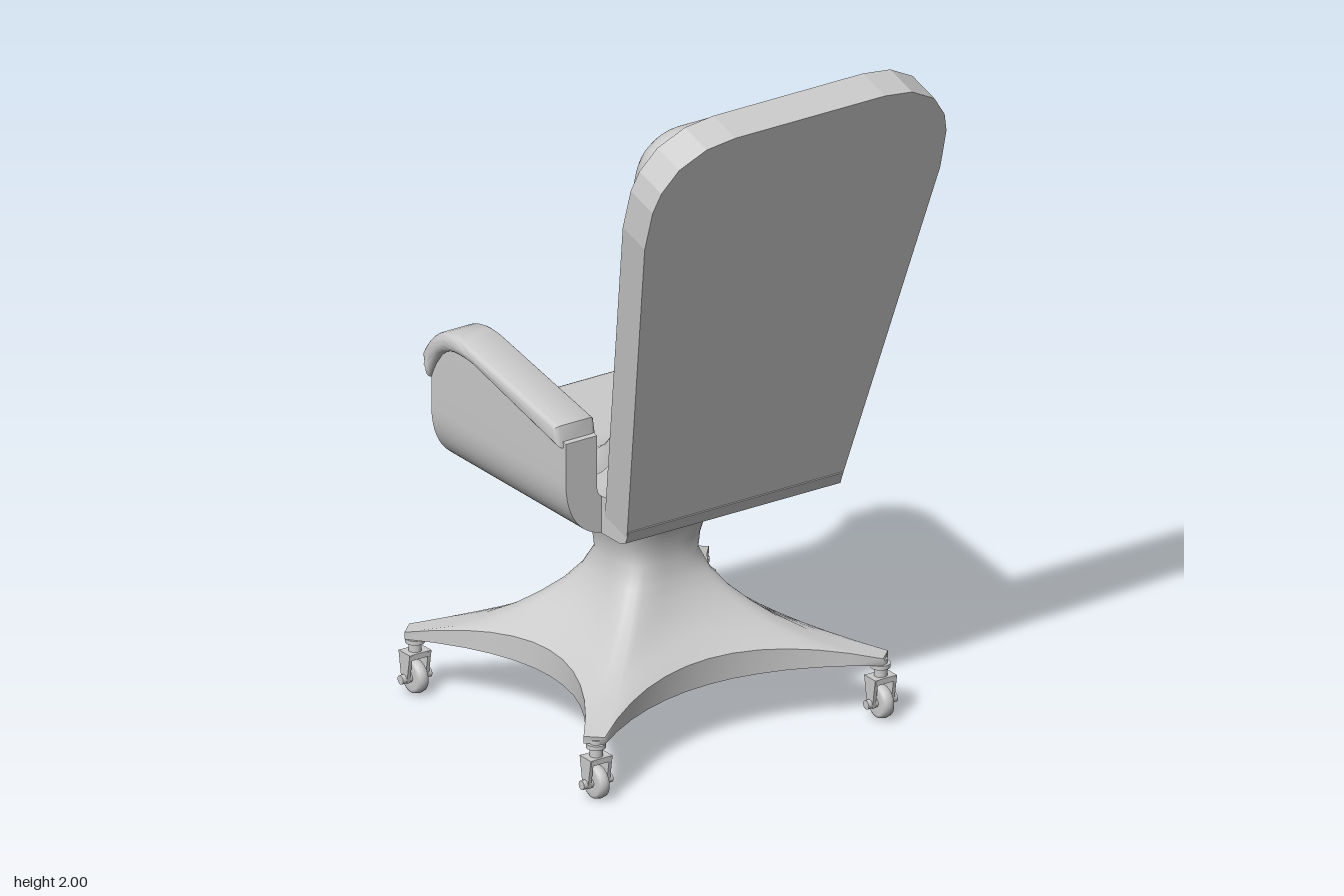
import * as THREE from 'three';
import { toCreasedNormals } from 'three/addons/utils/BufferGeometryUtils.js';

const mat = new THREE.MeshStandardMaterial({ color: 0xcccccc });
const TILT = 0.272; // lean of the backrest

function add(parent, name, geo, x = 0, y = 0, z = 0) {
  const m = new THREE.Mesh(geo, mat);
  m.name = name;
  m.position.set(x, y, z);
  parent.add(m);
  return m;
}

const polygon = (pts) => new THREE.Shape(pts.map(([x, y]) => new THREE.Vector2(x, y)));

// Extrudes a side profile given as (z, y) across x, centred on x = 0.
function sideExtrude(shape, width, bevel = 0) {
  const geo = new THREE.ExtrudeGeometry(shape, {
    depth: width - 2 * bevel, curveSegments: 10, bevelEnabled: bevel > 0,
    bevelSize: bevel, bevelThickness: bevel, bevelOffset: -bevel, bevelSegments: 5,
  });
  geo.translate(0, 0, -(width - 2 * bevel) / 2);
  geo.rotateY(-Math.PI / 2);
  return toCreasedNormals(geo, 0.7);
}

// Skins a grid of points; closed joins the end of each row to its start.
function skin(rows, closed) {
  const n = rows[0].length, idx = [];
  for (let i = 0; i < rows.length - 1; i++) {
    for (let j = 0; j < (closed ? n : n - 1); j++) {
      const a = i * n + j, b = i * n + (j + 1) % n;
      idx.push(a, a + n, b, b, a + n, b + n);
    }
  }
  const geo = new THREE.BufferGeometry();
  geo.setAttribute('position', new THREE.Float32BufferAttribute(rows.flat(2), 3));
  geo.setIndex(idx);
  geo.computeVertexNormals();
  return geo;
}

// One pedestal ring: blend w from rounded square (radius r) to four-pointed star.
function ring(w, r, yTip, yMid) {
  const pts = [];
  for (let k = 0; k < 4; k++) {
    const c = Math.cos(k * Math.PI / 2), s = Math.sin(k * Math.PI / 2);
    for (let i = 0; i <= 12; i++) {
      const t = i / 6 - 1, a = t * 0.73;
      const q = r / Math.pow(Math.cos(a) ** 3 + Math.abs(Math.sin(a)) ** 3, 1 / 3);
      const d = w * (0.3 + 0.17 * t * t) + (1 - w) * q * Math.cos(a);
      const e = w * 0.43 * t + (1 - w) * q * Math.sin(a);
      pts.push([(d * c - e * s) * 1.04, yTip + (yMid - yTip) * (1 - t * t), (d * s + e * c) * 0.96]);
    }
  }
  return pts;
}

function pedestal() {
  const g = new THREE.Group();
  g.name = 'pedestal';
  const bottom = ring(1, 0.125, 0.165, 0.165), rim = ring(1, 0.125, 0.185, 0.24);
  add(g, 'baseUnderside', skin([bottom.map(() => [0, 0.165, 0]), bottom], true));
  add(g, 'baseRim', skin([bottom, rim], true));
  const column = [
    [0.8, 0.125, 0.205, 0.262], [0.6, 0.125, 0.232, 0.285], [0.42, 0.125, 0.27, 0.312],
    [0.28, 0.125, 0.312, 0.342], [0.16, 0.125, 0.355, 0.372], [0.06, 0.125, 0.405, 0.41],
    [0, 0.122, 0.46, 0.46], [0, 0.127, 0.51, 0.51], [0, 0.14, 0.56, 0.56],
    [0, 0.165, 0.605, 0.605], [0, 0.2, 0.645, 0.645], [0, 0.235, 0.67, 0.67], [0, 0.275, 0.695, 0.695],
  ].map((p) => ring(...p));
  add(g, 'column', skin([rim, ...column], true));
  g.position.z = -0.15;
  return g;
}

function caster(x, z) {
  const g = new THREE.Group();
  g.name = 'caster';
  add(g, 'stem', new THREE.CylinderGeometry(0.018, 0.018, 0.06, 16), 0, 0.145, 0);
  add(g, 'collar', new THREE.CylinderGeometry(0.027, 0.027, 0.012, 16), 0, 0.157, 0);
  add(g, 'forkBridge', new THREE.BoxGeometry(0.066, 0.016, 0.05), 0, 0.119, 0);
  const tyre = new THREE.LatheGeometry([[0.012, -0.016], [0.036, -0.018], [0.044, -0.013], [0.047, 0],
    [0.044, 0.013], [0.036, 0.018], [0.012, 0.016]].map(([r, h]) => new THREE.Vector2(r, h)), 28);
  add(g, 'wheel', tyre.rotateZ(Math.PI / 2), 0, 0.052, 0);
  add(g, 'axle', new THREE.CylinderGeometry(0.013, 0.013, 0.094, 14).rotateZ(Math.PI / 2), 0, 0.052, 0);
  const leg = polygon([[-0.012, 0.042], [0.012, 0.042], [0.026, 0.127], [-0.026, 0.127]]);
  for (const s of [-1, 1]) add(g, 'forkLeg', sideExtrude(leg, 0.01), s * 0.03, 0, 0);
  g.position.set(x, 0, z);
  return g;
}

// Height of the side walls along z, following the underside of the arm pads.
function wallTop(z) {
  const p = [[-0.48, 0.95], [-0.44, 1.02], [-0.37, 1.07], [-0.27, 1.07], [0.14, 0.975]];
  let i = 0;
  while (i < p.length - 2 && z > p[i + 1][0]) i++;
  return THREE.MathUtils.mapLinear(z, p[i][0], p[i + 1][0], p[i][1], p[i + 1][1]);
}

function seatShell() {
  const s = new THREE.Shape();
  s.moveTo(-0.33, 0.69);
  s.lineTo(0.33, 0.69);
  s.bezierCurveTo(0.41, 0.695, 0.46, 0.76, 0.46, 0.86);
  s.lineTo(0.46, 1.1);
  s.lineTo(0.36, 1.1);
  s.lineTo(0.36, 0.83);
  s.quadraticCurveTo(0.36, 0.79, 0.32, 0.79);
  s.lineTo(-0.32, 0.79);
  s.quadraticCurveTo(-0.36, 0.79, -0.36, 0.83);
  s.lineTo(-0.36, 1.1);
  s.lineTo(-0.46, 1.1);
  s.lineTo(-0.46, 0.86);
  s.bezierCurveTo(-0.46, 0.76, -0.41, 0.695, -0.33, 0.69);
  const geo = new THREE.ExtrudeGeometry(s, { depth: 0.62, steps: 24, bevelEnabled: false, curveSegments: 12 });
  geo.translate(0, 0, -0.48);
  const p = geo.attributes.position;
  for (let i = 0; i < p.count; i++) if (p.getY(i) > 1.05) p.setY(i, wallTop(p.getZ(i)));
  return toCreasedNormals(geo, 0.6);
}

function backShell() {
  const half = [[0.345, 0], [0.475, 1.0], [0.472, 1.12], [0.455, 1.18], [0.41, 1.245], [0.33, 1.29], [0.24, 1.303]];
  const outline = [...half, ...half.map(([x, y]) => [-x, y]).reverse()];
  return new THREE.ExtrudeGeometry(polygon(outline), { depth: 0.105, bevelEnabled: false }).rotateX(TILT);
}

// One continuous pad running along the seat and up the backrest.
function cushion() {
  const v2 = (z, y) => new THREE.Vector2(z, y);
  const path = new THREE.CurvePath();
  path.add(new THREE.LineCurve(v2(-0.455, 0.79), v2(-0.08, 0.79)));
  path.add(new THREE.QuadraticBezierCurve(v2(-0.08, 0.79), v2(0.168, 0.79), v2(0.248, 1.08)));
  path.add(new THREE.LineCurve(v2(0.248, 1.08), v2(0.493, 1.958)));
  const L = path.getLength(), rows = [], N = 72, M = 32, edge = 0.06;
  for (let i = 0; i <= N; i++) {
    const u = (1 - Math.cos(Math.PI * i / N)) / 2, s = u * L;
    const p = path.getPointAt(u);
    const a = path.getPointAt(Math.max(0, u - 0.01)), b = path.getPointAt(Math.min(1, u + 0.01));
    const dir = b.sub(a).normalize();
    const w = THREE.MathUtils.clamp(0.295 + 0.135 * (p.y - 0.745) / 0.963, 0.325, 0.432);
    const thick = THREE.MathUtils.lerp(0.06, 0.085, THREE.MathUtils.smoothstep(u, 0.15, 0.45));
    const end = Math.min(s, L - s), r = u < 0.5 ? 0.08 : 0.14;
    const width = end < r ? w - r + Math.sqrt(Math.max(0, r * r - (r - end) ** 2)) : w;
    const row = [];
    for (let j = 0; j <= M; j++) {
      const x = width * Math.sin((j / M - 0.5) * Math.PI), side = w - Math.abs(x);
      const d = end < r && side < r ? r - Math.hypot(r - end, r - side) : Math.min(end, side);
      const q = THREE.MathUtils.clamp(d / edge, 0, 1);
      const h = thick * Math.sqrt(1 - (1 - q) ** 2);
      row.push([x, p.y + dir.x * h, p.x - dir.y * h]);
    }
    rows.push(row);
  }
  return skin(rows, false);
}

function armPad() {
  const s = new THREE.Shape();
  s.moveTo(0.13, 0.96);
  s.lineTo(0.12, 1.022);
  s.lineTo(-0.28, 1.102);
  s.bezierCurveTo(-0.4, 1.13, -0.46, 1.09, -0.505, 1.01);
  s.lineTo(-0.48, 0.945);
  s.bezierCurveTo(-0.44, 1.05, -0.39, 1.07, -0.27, 1.055);
  s.lineTo(0.13, 0.96);
  return sideExtrude(s, 0.13, 0.022);
}

export function createModel() {
  const chair = new THREE.Group();
  chair.name = 'officeChair';
  chair.add(pedestal());
  for (const x of [-0.457, 0.457]) for (const z of [-0.56, 0.275]) chair.add(caster(x, z));
  add(chair, 'seatShell', seatShell());
  add(chair, 'backrestShell', backShell(), 0, 0.745, 0.155);
  // Block joining the seat to the foot of the backrest
  const heel = polygon([[0.1, 0.69], [0.225, 0.69], [0.25, 0.7], [0.264, 0.735], [0.17, 0.8], [0.1, 0.79]]);
  add(chair, 'backrestFoot', sideExtrude(heel, 0.69));
  add(chair, 'cushion', cushion());
  for (const side of [-1, 1]) add(chair, side > 0 ? 'leftArmPad' : 'rightArmPad', armPad(), side * 0.415, 0, 0);
  return chair;
}
